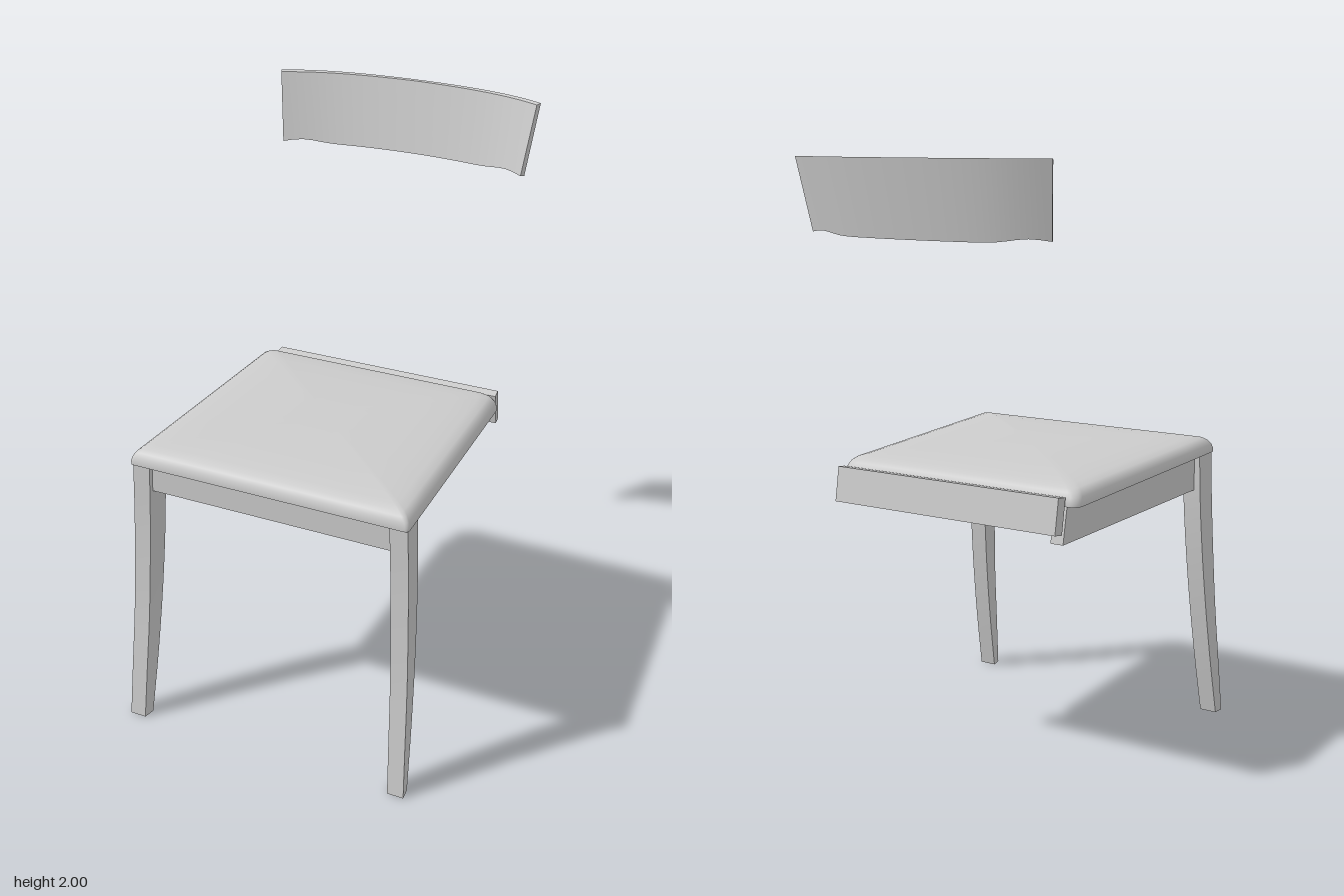
import * as THREE from 'three';

// Skin closed rings of [x, y, z]; smooth along the run, sharp between the sides, capped at the ends.
// Rings run anticlockwise as seen from the far end.
function loft(rings) {
  const pos = [], idx = [], n = rings[0].length;
  const add = (p) => pos.push(...p) / 3 - 1;
  for (let s = 0; s < n; s++) {
    const pairs = rings.map((r) => [add(r[s]), add(r[(s + 1) % n])]);
    for (let i = 0; i + 1 < pairs.length; i++) {
      const [a, b] = pairs[i], [d, c] = pairs[i + 1];
      idx.push(a, b, c, a, c, d);
    }
  }
  const cap = (ring) => {
    const v = ring.map(add);
    for (let i = 1; i + 1 < n; i++) idx.push(v[0], v[i], v[i + 1]);
  };
  cap([...rings[0]].reverse());
  cap(rings[rings.length - 1]);
  return build(pos, idx);
}

function build(pos, idx) {
  const g = new THREE.BufferGeometry();
  g.setAttribute('position', new THREE.Float32BufferAttribute(pos, 3));
  g.setIndex(idx);
  g.computeVertexNormals();
  return g;
}

// Domed cushion: rounded trapezoid outline shrunk towards the middle while rising
function cushionGeometry() {
  const outline = [];
  const corners = [[1, 1, 0.03], [1, -1, 0.1], [-1, -1, 0.07], [-1, 1, 0.03]];
  corners.forEach(([u, v, r], c) => {
    for (let i = 0; i <= 6; i++) {
      const a = Math.PI / 2 * (1 - c - i / 6);
      outline.push([u * (1 - r) + r * Math.cos(a), v * (1 - r) + r * Math.sin(a)]);
    }
    // extra points along the following edge
    const [u2, v2] = corners[(c + 1) % 4];
    for (let i = 1; i < 8; i++) {
      const t = 0.1 + 0.8 * i / 8;
      outline.push([u + (u2 - u) * t, v + (v2 - v) * t]);
    }
  });
  const place = ([u, v], k, h) => {
    const f = (v * k + 1) / 2, z = -0.38 + 0.93 * f;
    const left = 0.44 + 0.048 * f, right = -0.476 - 0.014 * f;
    return [(left + right) / 2 + u * k * (left - right) / 2, 0.954 + 0.02 * f + h, z];
  };
  const profile = [[1, 0], [1, 0.012], [0.99, 0.028], [0.97, 0.042], [0.94, 0.052],
    [0.88, 0.059], [0.75, 0.066], [0.55, 0.071], [0.3, 0.075], [0, 0.076]];
  const pos = [], idx = [], n = outline.length;
  profile.forEach(([k, h]) => outline.forEach((p) => pos.push(...place(p, k, h))));
  for (let r = 0; r + 1 < profile.length; r++) {
    for (let i = 0; i < n; i++) {
      const a = r * n + i, b = r * n + (i + 1) % n;
      idx.push(a, b, b + n, a, b + n, a + n);
    }
  }
  // flat underside
  const base = pos.length / 3;
  outline.forEach((p) => pos.push(...place(p, 1, 0)));
  pos.push(...place([0, 0], 1, 0));
  for (let i = 0; i < n; i++) idx.push(base + n, base + (i + 1) % n, base + i);
  return build(pos, idx);
}

// Sabre leg on the +x side, curving forward at the foot
function legRings() {
  const front = new THREE.CatmullRomCurve3([[0.61, 0], [0.588, 0.2], [0.565, 0.4], [0.551, 0.6], [0.542, 0.8], [0.54, 0.972]]
    .map(([z, y]) => new THREE.Vector3(0, y, z)));
  const back = new THREE.CatmullRomCurve3([[0.57, 0], [0.53, 0.2], [0.497, 0.4], [0.472, 0.6], [0.457, 0.8], [0.455, 0.972]]
    .map(([z, y]) => new THREE.Vector3(0, y, z)));
  const rings = [];
  for (let i = 0; i <= 12; i++) {
    const f = front.getPoint(i / 12), b = back.getPoint(i / 12), t = f.y / 0.972;
    const outer = 0.517 - 0.034 * t, inner = 0.46 - 0.038 * t;
    rings.push([[outer, f.y, f.z], [outer - 0.004, b.y, b.z], [inner - 0.008, b.y, b.z], [inner, f.y, f.z]]);
  }
  return rings;
}

// Curved, reclined top rail
function backrestRings() {
  const rings = [], n = 28;
  for (let i = 0; i <= n; i++) {
    const s = -1 + 2 * i / n, a = Math.abs(s);
    const z = -0.614 + 0.052 * a * a + 0.032 * a ** 4;
    const slope = Math.sign(s) * (0.104 * a + 0.128 * a ** 3) / 0.473;
    const len = Math.hypot(1, slope), nx = -slope / len * 0.018, nz = 0.018 / len;
    const xt = 0.473 * s, xb = 0.446 * s, zb = z + 0.046;
    const wave = 1.757 + 0.013 * Math.exp(-(((a - 0.86) / 0.16) ** 2));
    rings.push([[xt, 2, z], [xt + nx, 2 - 0.003 * a, z + nz],
      [xb + nx, wave + 0.003, zb + nz], [xb, wave, zb]]);
  }
  return rings;
}

export function createModel() {
  const group = new THREE.Group();
  const grey = new THREE.MeshStandardMaterial({ color: 0xcccccc });
  grey.name = 'light grey';
  const add = (name, geometry) => {
    const mesh = new THREE.Mesh(geometry, grey);
    mesh.name = name;
    group.add(mesh);
  };

  add('seatCushion', cushionGeometry());
  add('backrest', loft(backrestRings()));

  // Front legs
  const leg = legRings();
  add('frontLegLeft', loft(leg));
  add('frontLegRight', loft(leg.map((r) => r.map(([x, y, z]) => [-x, y, z]).reverse())));

  // Front rail between the legs
  add('frontRail', loft([-0.43, 0.43].map((x) =>
    [[x, 0.972, 0.485], [x, 0.973, 0.525], [x, 0.878, 0.525], [x, 0.872, 0.485]])));

  // Tilted rear rail
  add('rearRail', loft([[-0.437, -0.433], [0.42, 0.416]].map(([x, xb]) =>
    [[xb, 0.99, -0.42], [x, 0.985, -0.385], [x, 0.87, -0.405], [xb, 0.875, -0.44]])));

  // Single side rail
  add('sideRail', loft([
    [[-0.39, 0.954, -0.372], [-0.435, 0.954, -0.372], [-0.435, 0.836, -0.395], [-0.39, 0.836, -0.395]],
    [[-0.415, 0.972, 0.46], [-0.46, 0.972, 0.46], [-0.46, 0.848, 0.46], [-0.415, 0.848, 0.46]],
  ]));

  return group;
}
